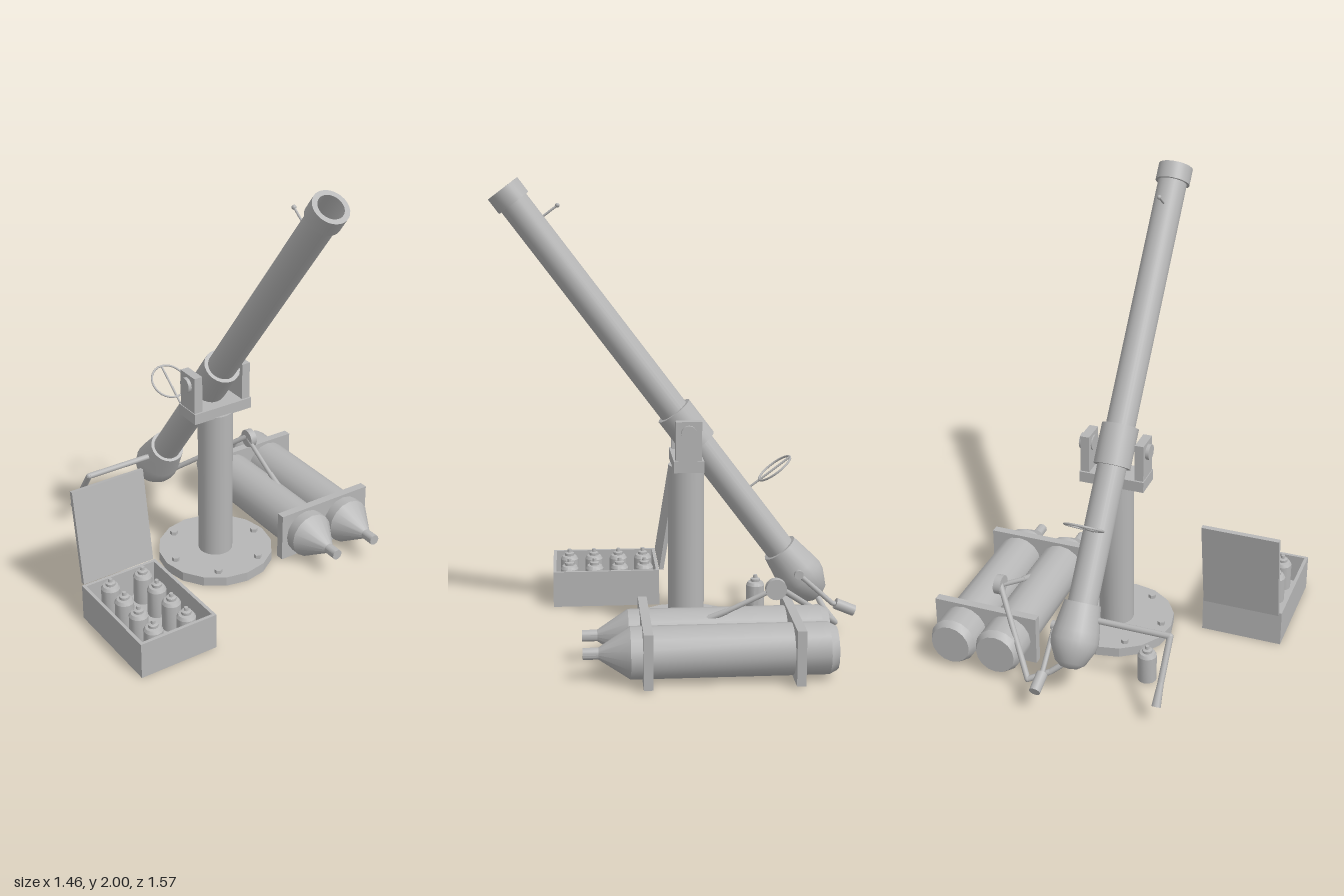
import * as THREE from 'three';
import { toCreasedNormals } from 'three/addons/utils/BufferGeometryUtils.js';

const V = (x, y, z) => new THREE.Vector3(x, y, z);

export function createModel() {
  const model = new THREE.Group();
  model.name = 'deckMortar';
  const steel = new THREE.MeshStandardMaterial({ color: 0xb6b6b6 });
  steel.name = 'greySteel';

  const add = (parent, name, geo, x = 0, y = 0, z = 0) => {
    const m = new THREE.Mesh(geo, steel);
    m.name = name;
    m.position.set(x, y, z);
    parent.add(m);
    return m;
  };
  const group = (name, parent = model) => {
    const g = new THREE.Group();
    g.name = name;
    parent.add(g);
    return g;
  };
  const box = (w, h, d) => new THREE.BoxGeometry(w, h, d);
  const cyl = (r, h, n = 24) => new THREE.CylinderGeometry(r, r, h, n);
  // Turned part from [radius, height] pairs, bottom to top
  const turned = (pts, n = 24, crease = 0.5) =>
    toCreasedNormals(new THREE.LatheGeometry(pts.map(p => new THREE.Vector2(...p)), n), crease);
  // Straight bar between two points
  const bar = (parent, name, a, b, r0, r1 = r0, n = 10) => {
    const d = b.clone().sub(a);
    const m = add(parent, name, new THREE.CylinderGeometry(r1, r0, d.length(), n));
    m.position.copy(a).addScaledVector(d, 0.5);
    m.quaternion.setFromUnitVectors(V(0, 1, 0), d.normalize());
    return m;
  };
  // Bent rod with rounded joints
  const rod = (parent, name, pts, r) => {
    for (let i = 1; i < pts.length; i++) {
      bar(parent, name, pts[i - 1], pts[i], r);
      if (i < pts.length - 1) add(parent, name + 'Joint', new THREE.SphereGeometry(r, 10, 8), ...pts[i].toArray());
    }
  };

  // Pedestal: base disc, bolts, column
  const PX = 0.02, PZ = -0.044;
  const pedestal = group('pedestal');
  pedestal.position.set(PX, 0, PZ);
  add(pedestal, 'baseDisc', toCreasedNormals(cyl(0.265, 0.045, 16), 0.2), 0, 0.0225, 0);
  for (let i = 0; i < 6; i++) {
    const a = i * Math.PI / 3;
    add(pedestal, 'baseBolt', toCreasedNormals(cyl(0.018, 0.03, 6), 0.2),
      0.218 * Math.cos(a), 0.047, 0.218 * Math.sin(a));
  }
  add(pedestal, 'column', cyl(0.079, 0.73), 0, 0.4, 0);

  // Yoke with cheeks and pivot pins
  add(pedestal, 'yokePlate', box(0.297, 0.05, 0.13), 0, 0.785, 0);
  for (const s of [-1, 1]) {
    add(pedestal, 'yokeCheek', box(0.04, 0.18, 0.112), s * 0.125, 0.89, 0);
    add(pedestal, 'pivotPin', cyl(0.035, 0.062, 16), s * 0.13, 0.93, 0).rotation.z = Math.PI / 2;
  }

  // Elevated barrel, built along local +y from the pivot
  const barrel = group('barrel');
  barrel.position.set(PX, 0.93, PZ);
  barrel.rotation.x = Math.atan2(0.6, 0.8);
  add(barrel, 'tube', turned([
    [0.065, -0.72], [0.065, 1.205], [0.077, 1.205], [0.077, 1.28],
    [0.055, 1.28], [0.055, 0.75], [0, 0.75],
  ], 28));
  add(barrel, 'breech', turned([
    [0, -0.975], [0.035, -0.97], [0.065, -0.95], [0.098, -0.885],
    [0.105, -0.85], [0.1, -0.81], [0.08, -0.69], [0.062, -0.69],
  ], 24, 0.7));
  add(barrel, 'sleeve', turned([[0.06, -0.09], [0.082, -0.09], [0.082, 0.09], [0.06, 0.09]]));

  // Ring sight and bead sight on top of the barrel
  add(barrel, 'ringSight', new THREE.TorusGeometry(0.084, 0.005, 8, 28), 0, -0.385, -0.196)
    .rotation.x = Math.PI / 2;
  bar(barrel, 'ringSightStem', V(0, -0.385, -0.05), V(0, -0.385, -0.28), 0.005);
  bar(barrel, 'beadSightPost', V(0, 1.088, -0.05), V(0, 1.088, -0.137), 0.005);
  add(barrel, 'beadSight', new THREE.SphereGeometry(0.01, 10, 8), 0, 1.088, -0.139);

  // Left-hand crank beside the breech
  const sideCrank = group('sideCrank');
  rod(sideCrank, 'crankArm', [V(0, 0.33, -0.495), V(-0.388, 0.33, -0.495), V(-0.386, 0.17, -0.605)], 0.014);
  bar(sideCrank, 'crankGrip', V(-0.386, 0.19, -0.592), V(-0.386, 0.085, -0.663), 0.012, 0.02);

  // Breech lever with a thick grip
  const lever = group('breechLever');
  add(lever, 'leverHub', cyl(0.02, 0.05, 12), 0.11, 0.285, -0.53).rotation.z = Math.PI / 2;
  rod(lever, 'leverArm', [V(0.122, 0.285, -0.53), V(0.118, 0.15, -0.68), V(0.115, 0.14, -0.71)], 0.011);
  bar(lever, 'leverGrip', V(0.115, 0.147, -0.695), V(0.115, 0.112, -0.778), 0.025, 0.025, 14);

  // Aiming crank: bent rod, pivot disc and long handle
  const aim = group('aimingCrank');
  rod(aim, 'aimingRod', [V(0.04, 0.17, -0.62), V(0.1, 0.125, -0.645), V(0.19, 0.088, -0.68), V(0.44, 0.335, -0.39)], 0.013);
  add(aim, 'aimingDisc', cyl(0.044, 0.032, 20), 0.444, 0.327, -0.383).rotation.z = Math.PI / 2;
  bar(aim, 'aimingHandle', V(0.436, 0.325, -0.38), V(0.426, 0.21, -0.14), 0.011);
  bar(aim, 'aimingGrip', V(0.428, 0.23, -0.18), V(0.42, 0.175, -0.05), 0.013, 0.017);

  // Pair of pressure bottles held by two plates
  const bottles = group('pressureBottles');
  for (const x of [0.374, 0.589]) {
    add(bottles, 'bottle', turned([
      [0, -0.612], [0.09, -0.612], [0.107, -0.578], [0.107, 0.229],
      [0.024, 0.357], [0.024, 0.42], [0, 0.42],
    ], 16, 0.45), x, 0.12, 0).rotation.x = Math.PI / 2;
  }
  for (const z of [-0.45, 0.162]) add(bottles, 'bottlePlate', box(0.485, 0.23, 0.038), 0.483, 0.125, z);

  // Open shell crate with tilted lid
  const crate = group('shellCrate');
  add(crate, 'crateFloor', box(0.366, 0.03, 0.49), -0.55, 0.015, 0.298);
  for (const s of [-1, 1]) {
    add(crate, 'crateSide', box(0.015, 0.168, 0.495), -0.55 + s * 0.177, 0.084, 0.298);
    add(crate, 'crateEnd', box(0.369, 0.168, 0.015), -0.55, 0.084, 0.298 + s * 0.24);
  }
  const lid = group('crateLid', crate);
  lid.position.set(-0.549, 0.168, 0.04);
  lid.rotation.x = -0.16;
  add(lid, 'lidPanel', box(0.35, 0.434, 0.02), 0, 0.217, 0);

  // Shells: eight in the crate, one on the ground
  const shellGeo = turned([
    [0, 0], [0.042, 0], [0.042, 0.125], [0.034, 0.139], [0.022, 0.142],
    [0.022, 0.154], [0.01, 0.158], [0.009, 0.172], [0, 0.172],
  ], 14);
  for (const x of [-0.63, -0.468])
    for (let i = 0; i < 4; i++) add(crate, 'shell', shellGeo, x, 0.03, 0.115 + i * 0.118);
  add(model, 'looseShell', shellGeo, -0.25, 0, -0.388);

  return model;
}
